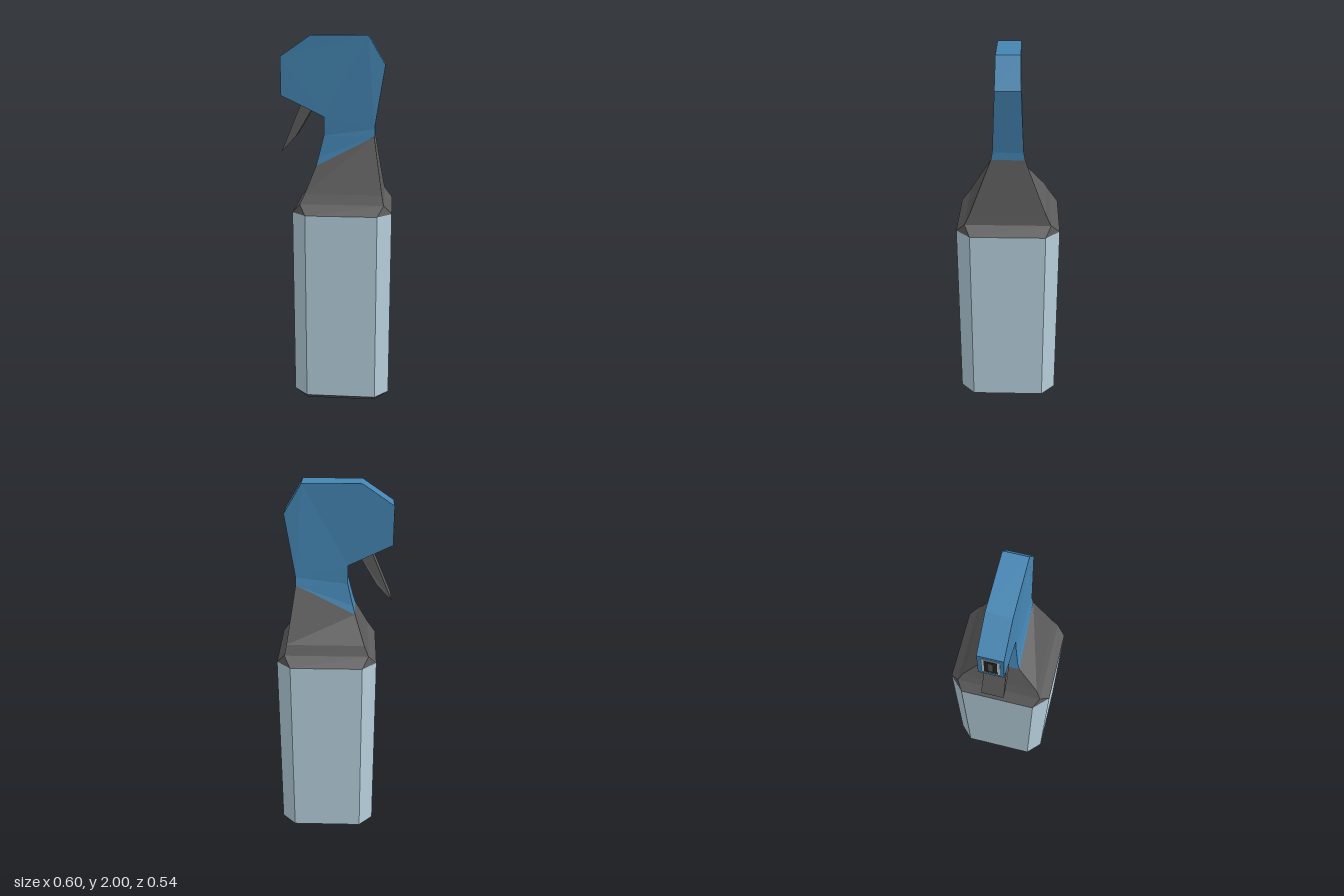
import * as THREE from 'three';

const mat = (name, color) => Object.assign(new THREE.MeshStandardMaterial({ color }), { name });

// Eight-point ring with cut corners; the +x side may sit higher and be wider than the -x side
function ring(y, x0, x1, z, cut = 0, yRight = y, zRight = z) {
  const c = cut;
  return [
    [x1, yRight, zRight - c], [x1 - c, yRight, zRight],
    [x0 + c, y, z], [x0, y, z - c],
    [x0, y, c - z], [x0 + c, y, -z],
    [x1 - c, yRight, -zRight], [x1, yRight, c - zRight],
  ];
}

// Faceted skin through a stack of rings, closed at both ends
function loft(rings) {
  const pos = [];
  const tri = (...pts) => pts.forEach((p) => pos.push(...p));
  const n = rings[0].length;
  for (let i = 0; i < rings.length - 1; i++) {
    for (let j = 0; j < n; j++) {
      const k = (j + 1) % n;
      const [lo, hi] = [rings[i], rings[i + 1]];
      tri(lo[j], hi[j], lo[k]);
      tri(lo[k], hi[j], hi[k]);
    }
  }
  const bottom = rings[0], top = rings[rings.length - 1];
  for (let j = 1; j < n - 1; j++) {
    tri(bottom[0], bottom[j], bottom[j + 1]);
    tri(top[0], top[j + 1], top[j]);
  }
  const g = new THREE.BufferGeometry();
  g.setAttribute('position', new THREE.Float32BufferAttribute(pos, 3));
  g.computeVertexNormals();
  return g;
}

// Side profile of [x, y, halfWidth] points, widened in z by each point's own half width
function profileSolid(points) {
  const shape = new THREE.Shape(points.map(([x, y]) => new THREE.Vector2(x, y)));
  const g = new THREE.ExtrudeGeometry(shape, { depth: 1, bevelEnabled: false });
  const p = g.attributes.position;
  for (let i = 0; i < p.count; i++) {
    const near = points.find(([x, y]) => Math.hypot(x - p.getX(i), y - p.getY(i)) < 1e-4);
    p.setZ(i, p.getZ(i) > 0.5 ? near[2] : -near[2]);
  }
  g.computeVertexNormals();
  return g;
}

export function createModel() {
  const group = new THREE.Group();
  group.name = 'sprayBottle';
  const paleBlue = mat('paleBlue', 0xb8d2df);
  const blue = mat('blue', 0x4485b2);
  const charcoal = mat('charcoal', 0x5b5b5b);
  const black = mat('black', 0x262424);

  const add = (name, geometry, material) => {
    const mesh = new THREE.Mesh(geometry, material);
    mesh.name = name;
    group.add(mesh);
    return mesh;
  };

  // Bottle: base, body and tapering shoulder
  const bodyRing = (y) => ring(y, -0.226, 0.3, 0.272, 0.075);
  add('base', loft([ring(0, -0.151, 0.225, 0.197), bodyRing(0.055)]), charcoal);
  add('body', loft([bodyRing(0.055), bodyRing(1.09)]), paleBlue);
  add('shoulder', loft([
    bodyRing(1.09),
    ring(1.14, -0.183, 0.257, 0.225),
    ring(1.19, -0.16, 0.247, 0.2),
    ring(1.32, -0.11, 0.2, 0.092, 0, 1.48, 0.087),
  ]), charcoal);

  // Spray head: slanted neck and flat hooked top
  add('neck', profileSolid([
    [-0.11, 1.32, 0.092], [0.2, 1.48, 0.087], [0.2, 1.52, 0.079],
    [-0.07, 1.48, 0.064], [-0.098, 1.365, 0.08],
  ]), blue);
  add('head', profileSolid([
    [-0.07, 1.48, 0.064], [0.2, 1.52, 0.079], [0.253, 1.85, 0.064],
    [0.162, 2, 0.061], [-0.138, 2, 0.061], [-0.298, 1.892, 0.061],
    [-0.298, 1.69, 0.061], [-0.07, 1.58, 0.062],
  ]), blue);

  // Trigger, its top end inside the head
  add('trigger', profileSolid([
    [-0.3, 1.39, 0.058], [-0.22, 1.475, 0.058], [-0.13, 1.625, 0.05], [-0.19, 1.655, 0.05],
  ]), charcoal);

  // Nozzle plates on the head's -x face
  [
    ['nozzleFrame', 0.158, 0.084, 0.002, paleBlue],
    ['nozzleOpening', 0.134, 0.06, 0.003, black],
    ['nozzleSlot', 0.09, 0.02, 0.004, charcoal],
  ].forEach(([name, h, w, t, material]) => {
    add(name, new THREE.BoxGeometry(t, h, w), material).position.set(-0.298 - t / 2, 1.791, 0);
  });

  return group;
}
